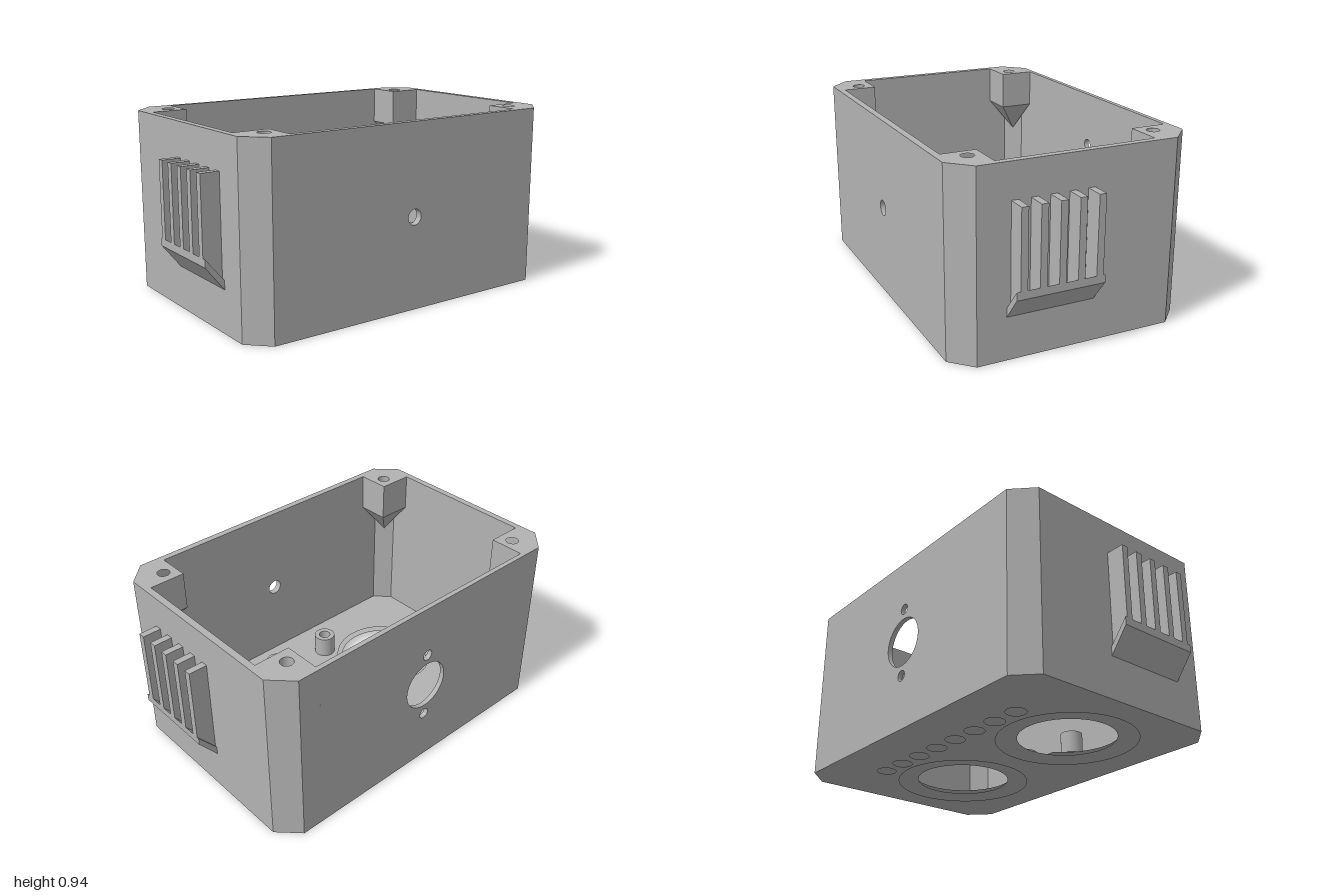
import * as THREE from 'three';
import { toCreasedNormals } from 'three/addons/utils/BufferGeometryUtils.js';
import { ConvexGeometry } from 'three/addons/geometries/ConvexGeometry.js';

const H = 0.935;              // box height
const FLOOR = 0.05;           // floor thickness
const EYE_X = 0.415, EYE_Z = 0.095;
const POST_Y = 0.735;         // underside of the corner blocks

export function createModel() {
  const model = new THREE.Group();
  model.name = 'enclosure';
  const grey = new THREE.MeshStandardMaterial({ color: 0xb3b3b3 });
  grey.name = 'grey plastic';

  const add = (name, geometry, parent = model) => {
    const mesh = new THREE.Mesh(geometry, grey);
    mesh.name = name;
    parent.add(mesh);
    return mesh;
  };
  const polygon = (pts) => new THREE.Shape(pts.map(([a, b]) => new THREE.Vector2(a, b)));
  const circle = (a, b, r) => new THREE.Path().absarc(a, b, r, 0, Math.PI * 2, true);
  const extrude = (shape, depth) => toCreasedNormals(
    new THREE.ExtrudeGeometry(shape, { depth, bevelEnabled: false, curveSegments: 40 }), 0.5);
  // Plan outlines are given as [x, z] and extruded upwards from y0 to y1
  const plan = (pts) => polygon(pts.map(([x, z]) => [x, -z]));
  const planHole = (x, z, r) => circle(x, -z, r);
  const rise = (shape, y0, y1) => extrude(shape, y1 - y0).rotateX(-Math.PI / 2).translate(0, y0, 0);

  const outline = () => plan([
    [-0.8, -0.61], [0.8, -0.61], [0.905, -0.505], [0.905, 0.505],
    [0.8, 0.61], [-0.8, 0.61], [-0.905, 0.505], [-0.905, -0.505],
  ]);

  // Floor in three layers: underside recesses, through holes, inner recess
  const bottom = outline();
  for (const s of [-1, 1]) bottom.holes.push(planHole(s * EYE_X, EYE_Z, 0.35));
  for (let i = 0; i < 8; i++) bottom.holes.push(planHole((i - 3.5) * 0.151, -0.33, 0.05));
  add('floorUnderside', rise(bottom, 0, 0.012));

  const middle = outline();
  for (const s of [-1, 1]) middle.holes.push(planHole(s * EYE_X, EYE_Z, 0.245));
  add('floorCore', rise(middle, 0.012, 0.038));

  const arc = (s) => Array.from({ length: 41 }, (_, i) => {
    const t = (Math.PI - 0.5) * (i / 20 - 1);
    return [s * (EYE_X + 0.27 * Math.cos(t)), EYE_Z + 0.27 * Math.sin(t)];
  });
  const top = outline();
  top.holes.push(plan([
    [-0.11, -0.585], [0.11, -0.585], [0.11, -0.035], ...arc(1), [0.11, 0.225], [0.11, 0.07],
    [-0.11, 0.07], [-0.11, 0.225], ...arc(-1).reverse(), [-0.11, -0.035],
  ]));
  add('floorInside', rise(top, 0.038, FLOOR));

  // Front wall with a small cable hole
  const front = polygon([[-0.685, FLOOR], [0.685, FLOOR], [0.685, H], [-0.685, H]]);
  front.holes.push(circle(0, 0.47, 0.04));
  add('frontWall', extrude(front, 0.035).translate(0, 0, 0.575));

  // Back wall with a connector hole and two screw holes
  const back = polygon([[-0.685, FLOOR], [0.685, FLOOR], [0.685, H], [-0.685, H]]);
  back.holes.push(circle(0, 0.47, 0.13), circle(0, 0.655, 0.028), circle(0, 0.285, 0.028));
  add('backWall', extrude(back, 0.025).translate(0, 0, -0.61));

  for (const s of [-1, 1]) {
    const side = new THREE.Group();
    side.name = s > 0 ? 'leftSide' : 'rightSide';
    model.add(side);
    const mirror = (pts) => pts.map(([x, z]) => [s * x, z]);

    // End wall wrapping round both chamfered corners
    add('endWall', rise(plan(mirror([
      [0.685, 0.61], [0.8, 0.61], [0.905, 0.505], [0.905, -0.505], [0.8, -0.61], [0.685, -0.61],
      [0.685, -0.585], [0.79, -0.585], [0.87, -0.505], [0.87, 0.495], [0.79, 0.575], [0.685, 0.575],
    ])), FLOOR, H), side);

    // Screw blocks in the corners, each tapering down to the chamfer
    for (const [dir, wall] of [[1, 0.575], [-1, 0.585]]) {
      const pts = mirror([
        [0.685, dir * 0.403], [0.87, dir * 0.403], [0.87, dir * (wall - 0.08)],
        [0.79, dir * wall], [0.685, dir * wall],
      ]);
      const block = plan(pts);
      block.holes.push(planHole(s * 0.753, dir * 0.475, 0.032));
      add('cornerBlock', rise(block, POST_Y, H), side);
      const corners = pts.map(([x, z]) => new THREE.Vector3(x, POST_Y, z));
      corners.push(new THREE.Vector3(s * 0.83, 0.555, dir * (wall - 0.04)));
      add('cornerTaper', new ConvexGeometry(corners), side);
    }

    // Side grille: slanted sill with five upright ribs; profiles are [x, y]
    const profile = (pts, z, w) => extrude(polygon(mirror(pts)), w).translate(0, 0, z - w / 2);
    add('grilleSill', profile(
      [[0.905, 0.215], [1, 0.335], [1, 0.375], [0.905, 0.26]], 0.137, 0.445), side);
    for (let i = 0; i < 5; i++) {
      add('grilleRib', profile(
        [[0.905, 0.24], [1, 0.36], [1, 0.76], [0.905, 0.76]], -0.057 + i * 0.095, 0.035), side);
    }
  }

  // Hollow screw posts on the floor
  for (const [x, z] of [[-0.655, -0.16], [0.655, -0.16], [-0.18, 0.355], [0.18, 0.355]]) {
    const tube = new THREE.Shape().absarc(x, -z, 0.057, 0, Math.PI * 2, false);
    tube.holes.push(planHole(x, z, 0.031));
    add('screwPost', rise(tube, FLOOR, 0.165));
  }
  return model;
}
